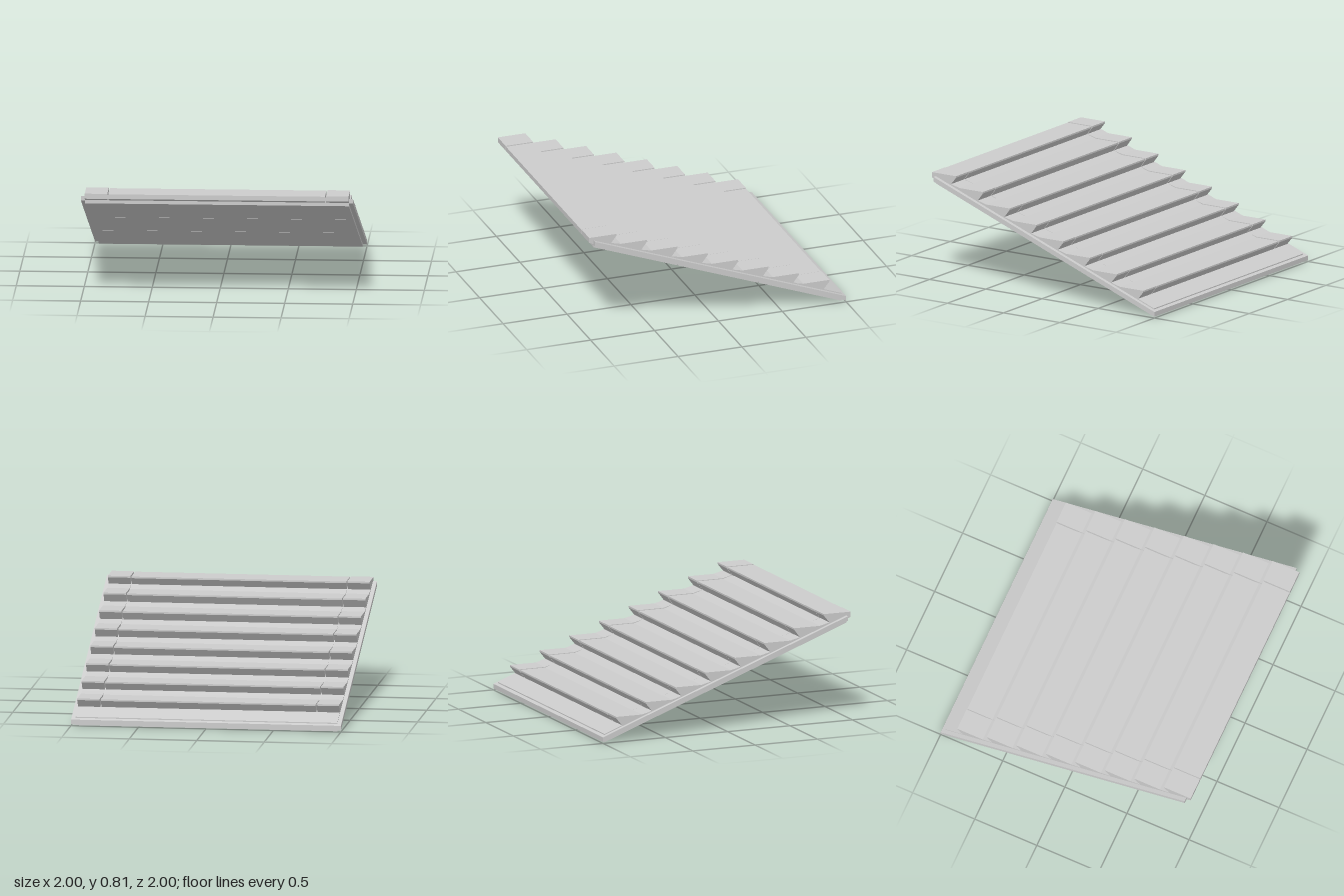
import * as THREE from 'three';

const SLOPE = 0.375;
const railTop = (z) => 0.785 + (z - 0.965) * SLOPE; // top line of the inclined frame

export function createModel() {
  const model = new THREE.Group();
  const material = new THREE.MeshStandardMaterial({ color: 0xcccccc, flatShading: true });

  // Extrudes a side profile of [z, y] points from x0 to x1
  function addProfile(name, points, x0, x1) {
    const shape = new THREE.Shape(points.map(([z, y]) => new THREE.Vector2(z, y)));
    const geometry = new THREE.ExtrudeGeometry(shape, { depth: x1 - x0, bevelEnabled: false });
    geometry.rotateY(-Math.PI / 2);
    geometry.translate(x1, 0, 0);
    const mesh = new THREE.Mesh(geometry, material);
    mesh.name = name;
    model.add(mesh);
  }

  // Inclined strip between two offsets from the frame's top line
  const strip = (z0, z1, low, high) => [
    [z0, railTop(z0) + low], [z1, railTop(z1) + low],
    [z1, railTop(z1) + high], [z0, railTop(z0) + high],
  ];

  // Frame: full-width sheet whose edges show as rails at both sides and the back
  addProfile('frame', strip(-1, 0.965, -0.035, 0), -1, 1);

  // Three underside planks and deck planks, parted by narrow joints
  const joints = [-0.975, -0.325, 0.31, 0.965];
  for (let i = 0; i < 3; i++) {
    const z0 = joints[i] + (i > 0 ? 0.003 : 0);
    const z1 = joints[i + 1] - (i < 2 ? 0.003 : 0);
    addProfile('undersidePlank', strip(z0, z1, -0.055, -0.03), -0.97, 0.97);
    addProfile('deckPlank', strip(z0, z1, -0.01, 0.008), -0.97, 0.97);
  }

  // Eight treads with undercut noses, each a long middle with two end blocks
  for (let i = 0; i < 8; i++) {
    const nose = 0.785 - i * 0.2378;
    const top = i === 0 ? 0.81 : 0.725 - (i - 1) * 0.09;
    const foot = nose + 0.045;
    const front = i === 0
      ? [[0.965, 0.755], [1, 0.772]]
      : [[nose + 0.29, railTop(nose + 0.29) - 0.01], [nose + 0.29, top + 0.021]];
    const tread = (drop) => [
      [foot, railTop(foot) - 0.01],
      ...front,
      ...(i === 0 ? [[1, top - drop]] : [[nose + 0.205, top - drop]]),
      [nose + drop, top - drop],
      [nose + drop, top - drop - 0.012],
      [foot, railTop(foot) + 0.008],
    ];
    addProfile('treadMiddle', tread(0.003), -0.796, 0.796);
    addProfile('treadEndRight', tread(0), -0.97, -0.804);
    addProfile('treadEndLeft', tread(0), 0.804, 0.97);
  }
  return model;
}
